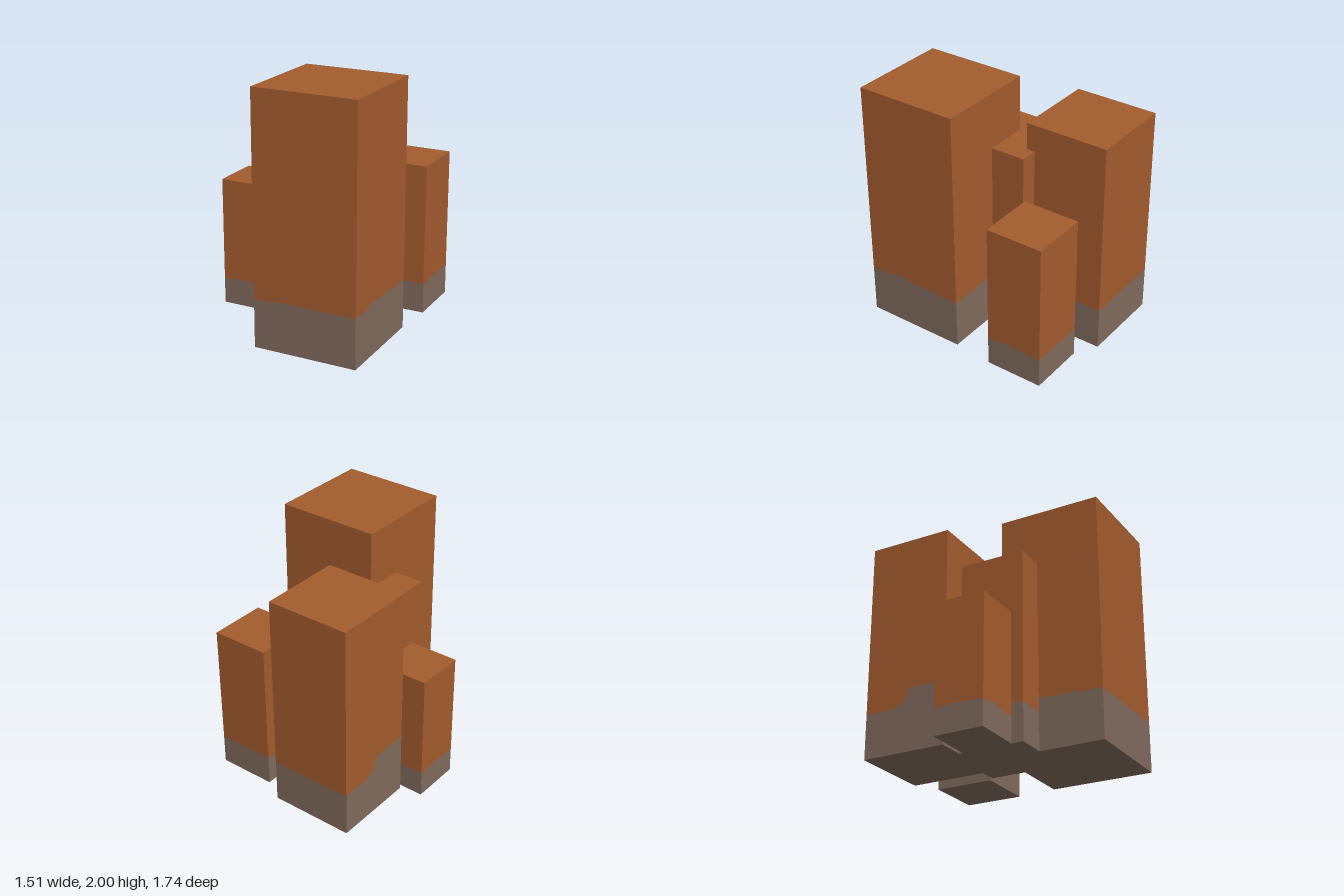
import * as THREE from 'three';

const brown = new THREE.MeshStandardMaterial({ color: 0xa35c2e });
brown.name = 'rust brown';
const grey = new THREE.MeshStandardMaterial({ color: 0x806a5d });
grey.name = 'stone grey';

// Top edge of the grey footing along a wall: [fraction from the left, multiple of its height]
const WAVY = [[0, 1], [0.25, 1.01], [0.28, 1.06], [0.43, 1.06], [0.46, 1.03], [0.73, 1.03], [0.77, 1], [1, 1]];
const STEPPED = [[0, 0.975], [0.18, 0.985], [0.22, 1], [1, 1]];
const FLAT = [[0, 1], [1, 1]];
const RAISED = [[0, 1.02], [0.38, 1.02], [0.48, 1.15], [0.55, 1.44], [1, 1.44]];

// Walls are listed front, left (+x), back, right (-x)
const TOWERS = [
  { name: 'tallTower', x: 0.305, z: 0.45, size: 0.837, h: 2, foot: 0.4, walls: [STEPPED, WAVY, FLAT, WAVY] },
  { name: 'backTower', x: -0.238, z: -0.531, size: 0.685, h: 1.768, foot: 0.35, walls: [FLAT, FLAT, FLAT, RAISED] },
  { name: 'middleTower', x: -0.055, z: 0.045, size: 0.602, h: 1.548, foot: 0.308, walls: [FLAT, WAVY, FLAT, WAVY] },
  { name: 'shortTower', x: -0.555, z: 0.045, size: 0.405, h: 1.05, foot: 0.21, walls: [WAVY, WAVY, FLAT, WAVY] },
  { name: 'cornerTower', x: 0.516, z: -0.531, size: 0.473, h: 1.218, foot: 0.242, walls: [FLAT, WAVY, FLAT, WAVY] },
];

function polygon(points, material, name) {
  const shape = new THREE.Shape(points.map(([x, y]) => new THREE.Vector2(x, y)));
  const mesh = new THREE.Mesh(new THREE.ShapeGeometry(shape), material);
  mesh.name = name;
  return mesh;
}

// One wall, split along the footing line and pushed out to the tower's edge
function createWall(size, h, foot, profile) {
  const wall = new THREE.Group();
  wall.name = 'wall';
  const r = size / 2;
  const line = profile.map(([t, k]) => [t * size - r, k * foot]);
  const footing = polygon([[-r, 0], [r, 0], ...[...line].reverse()], grey, 'footing');
  const upper = polygon([...line, [r, h], [-r, h]], brown, 'upperWall');
  footing.position.z = upper.position.z = r;
  wall.add(footing, upper);
  return wall;
}

function createTower({ name, x, z, size, h, foot, walls }) {
  const tower = new THREE.Group();
  tower.name = name;
  walls.forEach((profile, i) => {
    const wall = createWall(size, h, foot, profile);
    wall.rotation.y = i * Math.PI / 2;
    tower.add(wall);
  });

  // Roof and underside
  const plane = new THREE.PlaneGeometry(size, size);
  const roof = new THREE.Mesh(plane, brown);
  roof.name = 'roof';
  roof.rotation.x = -Math.PI / 2;
  roof.position.y = h;
  const underside = new THREE.Mesh(plane, grey);
  underside.name = 'underside';
  underside.rotation.x = Math.PI / 2;
  tower.add(roof, underside);

  tower.position.set(x, 0, z);
  return tower;
}

export function createModel() {
  const model = new THREE.Group();
  model.name = 'towerCluster';
  TOWERS.forEach((spec) => model.add(createTower(spec)));
  return model;
}
